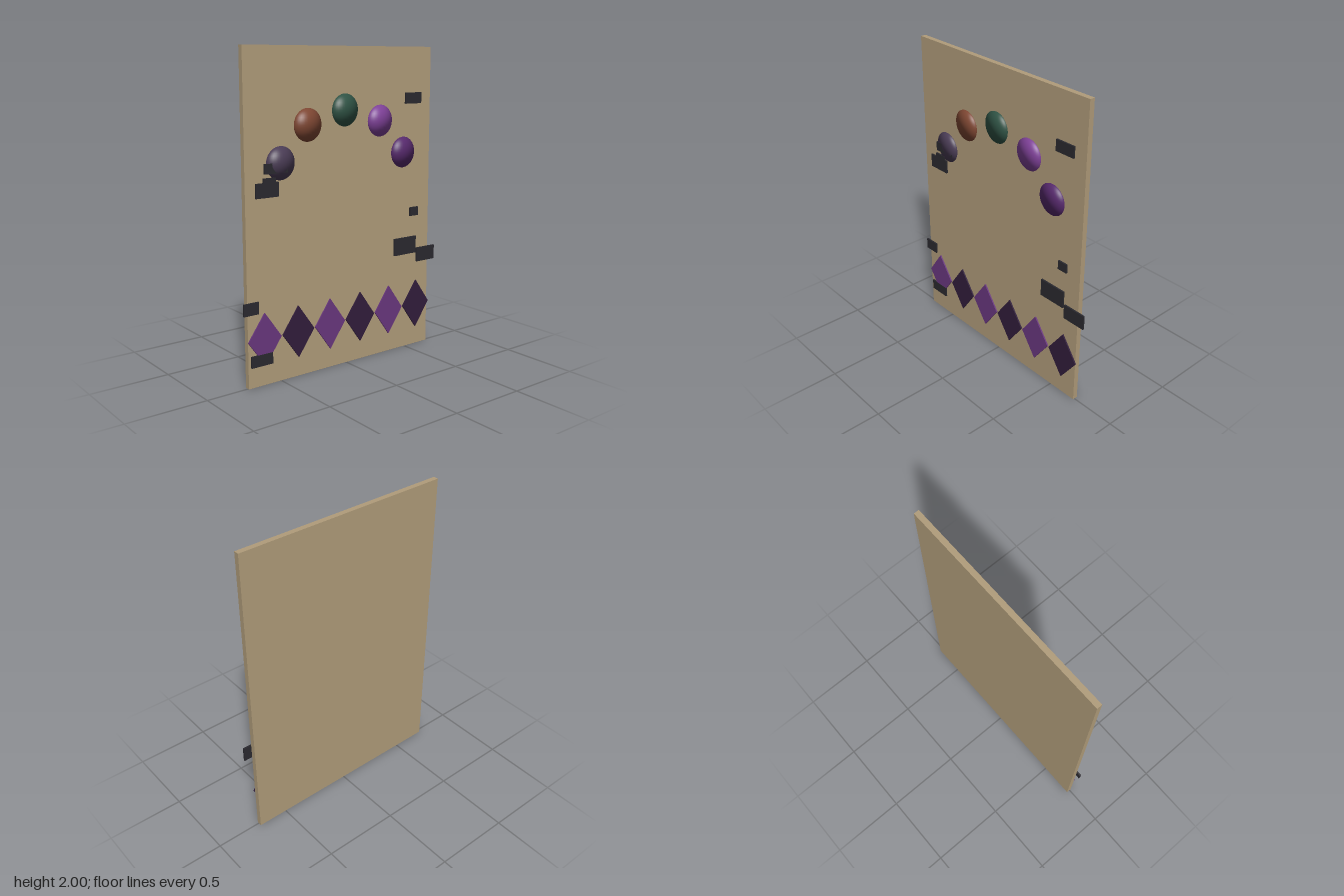
import * as THREE from 'three';

const BOARD_FRONT = 0.011;

function createMesh(name, geometry, color, x = 0, y = 0, z = 0) {
  const mesh = new THREE.Mesh(geometry, new THREE.MeshStandardMaterial({ color }));
  mesh.name = name;
  mesh.position.set(x, y, z);
  return mesh;
}

export function createModel() {
  const model = new THREE.Group();
  model.name = 'decoratedPanel';

  // Backing board
  model.add(createMesh('board', new THREE.BoxGeometry(1.43, 2, 0.034), 0xb09c7a, -0.014, 1, -0.006));

  // Arc of flattened balls; their round normals are kept for domed shading
  const ball = new THREE.SphereGeometry(0.1, 32, 20);
  const ballPositions = ball.attributes.position;
  for (let i = 0; i < ballPositions.count; i++) ballPositions.setZ(i, ballPositions.getZ(i) * 0.05);
  const balls = new THREE.Group();
  balls.name = 'ballArc';
  [
    [-0.489, 1.328, 0x4a3c55],
    [-0.293, 1.54, 0x7d4632],
    [-0.014, 1.617, 0x2f5244],
    [0.265, 1.54, 0x7d4096],
    [0.461, 1.328, 0x56296c],
  ].forEach(([x, y, color]) => balls.add(createMesh('ball', ball, color, x, y, 0.018)));
  model.add(balls);

  // Row of alternating diamonds
  const outline = new THREE.Shape([
    new THREE.Vector2(0, -0.163),
    new THREE.Vector2(0.116, 0),
    new THREE.Vector2(0, 0.163),
    new THREE.Vector2(-0.116, 0),
  ]);
  const diamond = new THREE.ExtrudeGeometry(outline, { depth: 0.009, bevelEnabled: false });
  const diamonds = new THREE.Group();
  diamonds.name = 'diamondRow';
  for (let i = 0; i < 6; i++) {
    const color = i % 2 ? 0x311d3b : 0x69377e;
    diamonds.add(createMesh('diamond', diamond, color, -0.614 + i * 0.2414, 0.286, BOARD_FRONT));
  }
  model.add(diamonds);

  // Scattered dark patches: centre x, centre y, width, height
  const patches = new THREE.Group();
  patches.name = 'patches';
  [
    [0.547, 1.674, 0.135, 0.071],
    [-0.583, 1.178, 0.156, 0.087],
    [-0.52, 1.301, 0.16, 0.06],
    [-0.567, 1.222, 0.087, 0.052],
    [0.566, 0.926, 0.068, 0.058],
    [0.491, 0.7, 0.188, 0.114],
    [0.675, 0.625, 0.159, 0.095],
    [-0.707, 0.489, 0.103, 0.074],
    [-0.637, 0.163, 0.148, 0.071],
  ].forEach(([x, y, w, h]) =>
    patches.add(createMesh('patch', new THREE.BoxGeometry(w, h, 0.011), 0x2a292f, x, y, BOARD_FRONT + 0.0055)));
  model.add(patches);

  return model;
}
